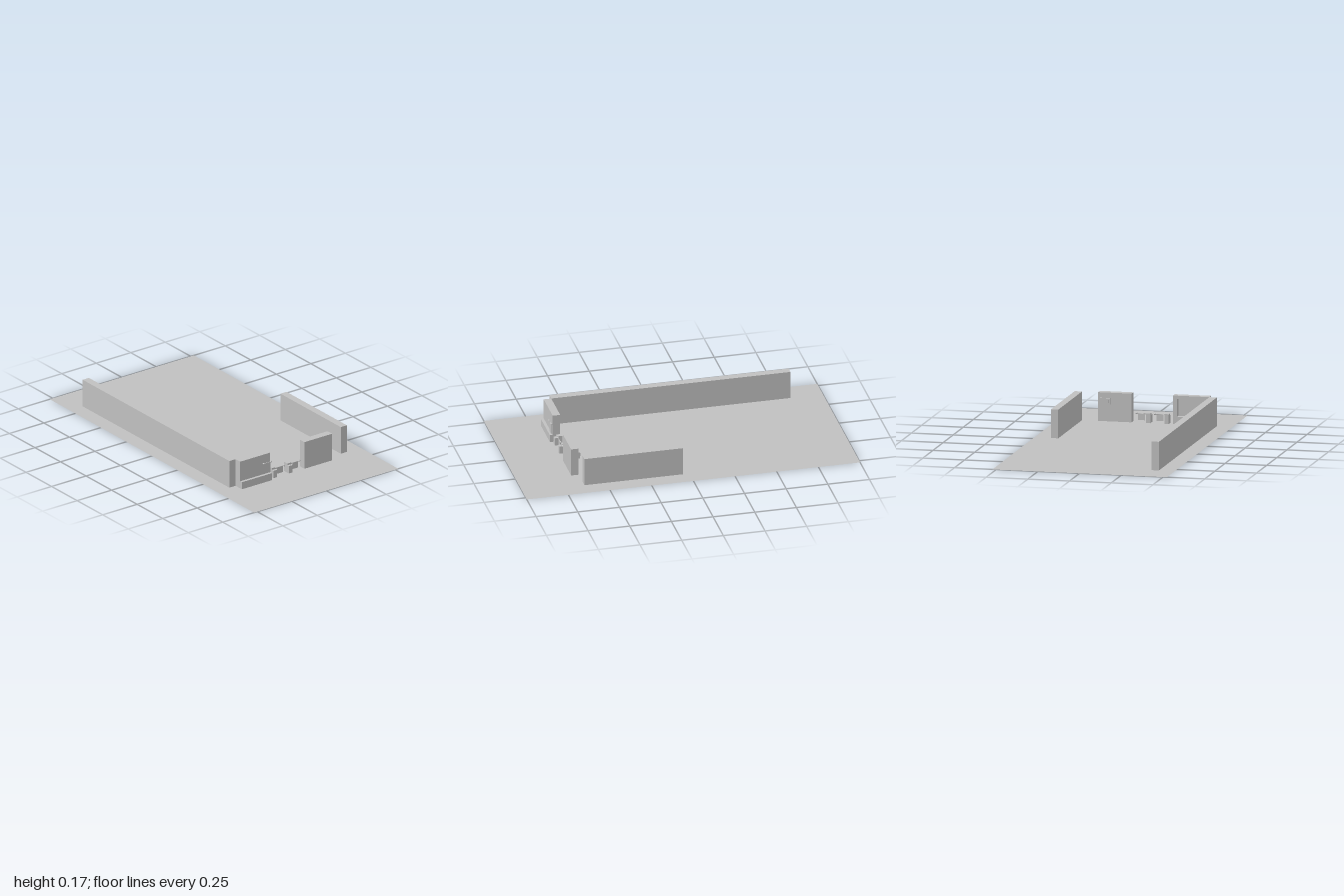
import * as THREE from 'three';

const grey = new THREE.MeshStandardMaterial({ color: 0xc0c0c0, side: THREE.DoubleSide });
grey.name = 'plain grey';

// Box given by its limits on each axis
function box(parent, name, [x0, x1], [y0, y1], [z0, z1]) {
  const mesh = new THREE.Mesh(new THREE.BoxGeometry(x1 - x0, y1 - y0, z1 - z0), grey);
  mesh.position.set((x0 + x1) / 2, (y0 + y1) / 2, (z0 + z1) / 2);
  mesh.name = name;
  parent.add(mesh);
  return mesh;
}

// Thin rod with a knob at each end and a sheet hanging below it
function hangingBar(name, x0, x1, y, z, sheetX, sheetBottom) {
  const group = new THREE.Group();
  group.name = name;
  const rod = new THREE.Mesh(new THREE.CylinderGeometry(0.002, 0.002, x1 - x0, 10), grey);
  rod.name = 'rod';
  rod.rotation.z = Math.PI / 2;
  rod.position.set((x0 + x1) / 2, y, z);
  group.add(rod);
  for (const x of [x0, x1]) {
    const knob = new THREE.Mesh(new THREE.SphereGeometry(0.006, 16, 12), grey);
    knob.name = 'knob';
    knob.position.set(x, y, z);
    group.add(knob);
  }
  box(group, 'hangingSheet', sheetX, [sheetBottom, y], [z - 0.001, z + 0.001]);
  return group;
}

export function createModel() {
  const model = new THREE.Group();
  model.name = 'enclosure';

  // Ground sheet
  const floor = new THREE.Mesh(new THREE.PlaneGeometry(1.045, 2), grey);
  floor.name = 'floor';
  floor.rotation.x = -Math.PI / 2;
  model.add(floor);

  // Long and short side walls
  const H = 0.17;
  box(model, 'longSideWall', [-0.428, -0.383], [0, H], [-0.805, 0.63]);
  box(model, 'shortSideWall', [0.38, 0.424], [0, H], [0.04, 0.63]);

  // Front wall with a small control panel on its inner face
  box(model, 'frontWall', [0.083, 0.284], [0, H], [0.63, 0.675]);
  box(model, 'controlPanel', [0.21, 0.272], [0.1, 0.138], [0.62, 0.63]);
  for (const x of [0.225, 0.241, 0.257]) {
    box(model, 'panelButton', [x - 0.005, x + 0.005], [0.11, 0.128], [0.615, 0.62]);
  }

  // Booth: solid front, recess open to the inside, step along the front
  const booth = new THREE.Group();
  booth.name = 'booth';
  const x0 = -0.383, x1 = -0.165;
  box(booth, 'boothFront', [x0, x1], [0, H], [0.665, 0.675]);
  box(booth, 'boothCounter', [x0, x1], [0, 0.045], [0.63, 0.665]);
  box(booth, 'boothTop', [x0, x1], [0.15, H], [0.63, 0.665]);
  box(booth, 'boothSide', [x0, x0 + 0.025], [0.045, 0.15], [0.63, 0.665]);
  box(booth, 'boothSide', [x1 - 0.025, x1], [0.045, 0.15], [0.63, 0.665]);
  box(booth, 'frontStep', [x0, x1], [0, 0.045], [0.675, 0.692]);
  booth.add(hangingBar('boothBar', -0.218, -0.166, 0.115, 0.683, [-0.212, -0.17], 0.05));
  model.add(booth);

  // Two gates: stepped post and a barrier bar
  for (const x of [-0.14, -0.03]) {
    const gate = new THREE.Group();
    gate.name = 'gate';
    box(gate, 'gatePost', [x, x + 0.025], [0, 0.047], [0.628, 0.675]);
    box(gate, 'gatePostTop', [x, x + 0.025], [0.047, 0.058], [0.628, 0.66]);
    gate.add(hangingBar('barrier', x + 0.03, x + 0.09, 0.051, 0.656, [x + 0.039, x + 0.081], 0.011));
    model.add(gate);
  }
  return model;
}
